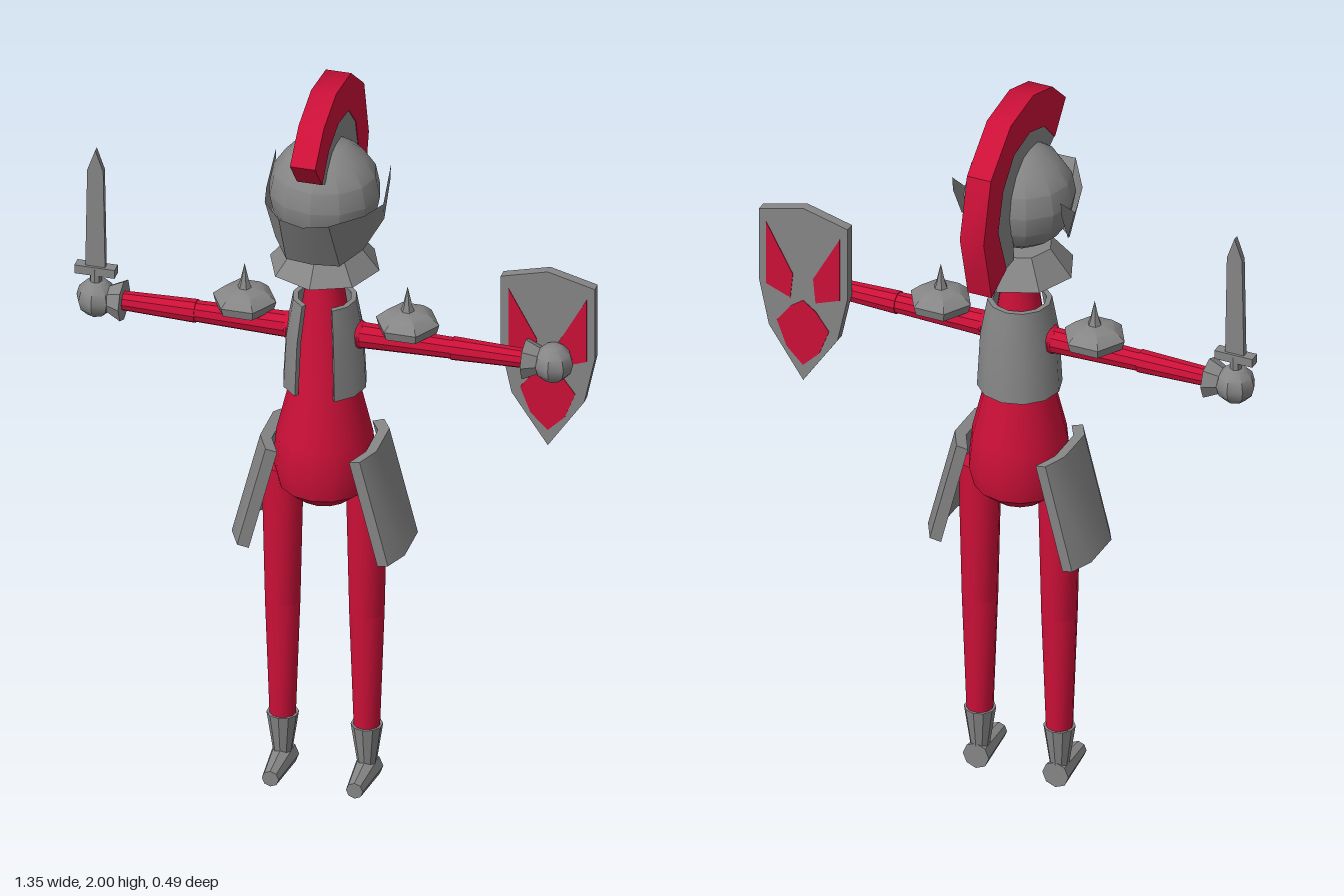
import * as THREE from 'three';
import { toCreasedNormals } from 'three/addons/utils/BufferGeometryUtils.js';

const steel = new THREE.MeshStandardMaterial({ color: 0x868686, side: THREE.DoubleSide });
steel.name = 'steel';
const red = new THREE.MeshStandardMaterial({ color: 0xcc1038, side: THREE.DoubleSide });
red.name = 'crimson';

const v2 = (pts) => pts.map(([x, y]) => new THREE.Vector2(x, y));

function add(parent, name, geo, mat, x = 0, y = 0, z = 0) {
  const mesh = new THREE.Mesh(toCreasedNormals(geo, 0.6), mat);
  mesh.name = name;
  mesh.position.set(x, y, z);
  parent.add(mesh);
  return mesh;
}

// flat outline with a thickness, centred on its depth
function plate(pts, depth) {
  const geo = new THREE.ExtrudeGeometry(new THREE.Shape(v2(pts)), { depth, bevelEnabled: false });
  return geo.translate(0, 0, -depth / 2);
}

const mirrorX = (half) => [...half, ...half.slice().reverse().filter(([x]) => x !== 0).map(([x, y]) => [-x, y])];

function addHead(body) {
  const helmet = add(body, 'helmet', new THREE.SphereGeometry(0.14, 12, 8), steel, 0, 1.71, 0);
  helmet.scale.set(1.03, 1.03, 0.97);
  add(body, 'neckGuard', new THREE.CylinderGeometry(0.085, 0.143, 0.07, 8), steel, 0, 1.53, 0);

  // visor: upper and lower rim for one side, from the tip to the hinge
  const rims = [
    [[0, 1.712, 0.205], [0, 1.56, 0.125]],
    [[0.065, 1.72, 0.195], [0.07, 1.557, 0.11]],
    [[0.13, 1.705, 0.095], [0.115, 1.58, 0.05]],
    [[0.153, 1.69, 0.0], [0.147, 1.63, -0.03]],
    [[0.15, 1.76, -0.08], [0.15, 1.72, -0.075]],
  ];
  const flip = (rim) => rim.map(([x, y, z]) => [-x, y, z]);
  const stations = [...rims.slice(1).reverse().map(flip), ...rims];
  const index = [];
  for (let i = 0; i < stations.length - 1; i++) {
    const a = i * 2;
    index.push(a, a + 1, a + 2, a + 1, a + 3, a + 2);
  }
  const visor = new THREE.BufferGeometry();
  visor.setAttribute('position', new THREE.Float32BufferAttribute(stations.flat(2), 3));
  visor.setIndex(index);
  add(body, 'visor', visor, steel);

  // crest: red plume over a steel ridge, outlines in (z, y)
  const outer = [[0.205, 1.885], [0.125, 1.96], [0.01, 1.998], [-0.125, 1.982], [-0.245, 1.885], [-0.288, 1.72], [-0.24, 1.54]];
  const middle = [[0.14, 1.805], [0.077, 1.87], [-0.01, 1.9], [-0.105, 1.885], [-0.17, 1.815], [-0.2, 1.71], [-0.15, 1.575]];
  const inner = [[0.11, 1.79], [0.08, 1.8], [0, 1.82], [-0.08, 1.79], [-0.115, 1.7], [-0.1, 1.575]];
  const band = (a, b, w) => plate([...a, ...b.slice().reverse()], w).rotateY(-Math.PI / 2);
  add(body, 'plume', band(outer, middle, 0.066), red);
  add(body, 'crestRidge', band(middle, inner, 0.062), steel);
}

function addTorso(body) {
  const profile = [[0, 0.8], [0.07, 0.825], [0.118, 0.865], [0.131, 0.92], [0.122, 1.01],
    [0.086, 1.16], [0.06, 1.36], [0.048, 1.44], [0.046, 1.54]];
  add(body, 'torso', new THREE.LatheGeometry(v2(profile), 14), red);

  // vest wraps the back and sides, open at the front
  const section = [[0.095, 1.15], [0.108, 1.15], [0.1, 1.3], [0.082, 1.4], [0.068, 1.4], [0.085, 1.3], [0.095, 1.15]];
  const gap = 0.5;
  add(body, 'vest', new THREE.LatheGeometry(v2(section), 10, gap, Math.PI * 2 - gap * 2), steel);
  for (const s of [-1, 1]) {
    // closes the vest's cut front edges
    const edge = new THREE.ShapeGeometry(new THREE.Shape(v2(section)));
    add(body, 'vestEdge', edge, steel).rotation.y = s * gap - Math.PI / 2;
  }
}

function addArm(body, s) {
  const arm = new THREE.Group();
  arm.name = s > 0 ? 'leftArm' : 'rightArm';
  body.add(arm);
  // tapered tube along x between two distances from the body's middle
  const limb = (name, d0, d1, r0, r1, mat, sides) => {
    const geo = new THREE.CylinderGeometry(r1, r0, d1 - d0, sides).rotateZ(-s * Math.PI / 2);
    add(arm, name, geo, mat, s * (d0 + d1) / 2, 1.3, 0);
  };
  add(arm, 'shoulderJoint', new THREE.SphereGeometry(0.04, 10, 8), red, s * 0.08, 1.3, 0);
  limb('upperArm', 0.06, 0.335, 0.035, 0.028, red, 10);
  limb('forearm', 0.335, 0.54, 0.031, 0.025, red, 10);
  limb('cuff', 0.525, 0.575, 0.055, 0.03, steel, 8);
  add(arm, 'hand', new THREE.SphereGeometry(0.052, 8, 6), steel, s * 0.597, 1.3, 0);

  // six-sided shoulder plate with a spike
  const dome = [[0, 1.328], [0.076, 1.328], [0.083, 1.352], [0.055, 1.376], [0.018, 1.384], [0.012, 1.4], [0, 1.452]];
  add(arm, 'shoulderPlate', new THREE.LatheGeometry(v2(dome), 6, Math.PI / 6), steel, s * 0.213, 0, -0.012)
    .rotation.y = Math.PI / 3;
}

function addLeg(body, s) {
  const leg = new THREE.Group();
  leg.name = s > 0 ? 'leftLeg' : 'rightLeg';
  leg.position.x = s * 0.11;
  body.add(leg);
  add(leg, 'thigh', new THREE.CylinderGeometry(0.055, 0.046, 0.4, 12), red, 0, 0.7, 0);
  add(leg, 'shin', new THREE.CylinderGeometry(0.046, 0.034, 0.34, 12), red, 0, 0.33, 0);
  add(leg, 'boot', new THREE.CylinderGeometry(0.041, 0.024, 0.115, 10), steel, 0, 0.113, 0);
  add(leg, 'foot', new THREE.CylinderGeometry(0.022, 0.036, 0.14, 8).rotateX(Math.PI / 2), steel, 0, 0.037, 0.045);

  // bent hip guard, leaning outward at the bottom
  const bend = [[0, -0.113], [0.03, -0.06], [0.03, 0.06], [0, 0.113], [-0.03, 0.108], [0, 0.055], [0, -0.055], [-0.03, -0.108]];
  const guard = add(body, 'hipGuard', plate(bend, 0.3).rotateX(-Math.PI / 2), steel, s * 0.16, 0.85, 0);
  guard.rotation.set(0, s > 0 ? 0 : Math.PI, 0.25);
}

function addSword(body) {
  const sword = new THREE.Group();
  sword.name = 'sword';
  sword.position.set(-0.598, 0, 0);
  body.add(sword);
  const blade = mirrorX([[0, 1.73], [-0.021, 1.67], [-0.026, 1.38]]);
  add(sword, 'blade', plate(blade, 0.016), steel);
  add(sword, 'crossguard', new THREE.BoxGeometry(0.105, 0.024, 0.03), steel, 0, 1.38, 0);
  add(sword, 'grip', new THREE.CylinderGeometry(0.016, 0.016, 0.13, 8), steel, 0, 1.32, 0);
}

function addShield(body) {
  const shield = new THREE.Group();
  shield.name = 'shield';
  shield.position.set(0.575, 0, -0.04);
  body.add(shield);
  const outline = mirrorX([[0, 1.545], [-0.123, 1.513], [-0.123, 1.31], [-0.095, 1.18], [0, 1.04]]);
  add(shield, 'shieldBoard', plate(outline, 0.026), steel);

  // painted panels on both faces
  const wing = [[-0.102, 1.48], [-0.102, 1.3], [-0.035, 1.275], [-0.028, 1.345]];
  const diamond = mirrorX([[0, 1.275], [-0.035, 1.25], [-0.072, 1.2], [-0.045, 1.13], [0, 1.085]]);
  for (const z of [-0.0135, 0.0135]) {
    add(shield, 'lowerPanel', plate(diamond, 0.003), red, 0, 0, z);
    for (const s of [-1, 1]) {
      add(shield, 'upperPanel', plate(wing.map(([x, y]) => [-s * x, y]), 0.003), red, 0, 0, z);
    }
  }
}

export function createModel() {
  const model = new THREE.Group();
  model.name = 'knight';
  const body = new THREE.Group();
  body.name = 'body';
  body.position.set(-0.026, 0, 0.04);
  model.add(body);
  addHead(body);
  addTorso(body);
  for (const s of [-1, 1]) {
    addArm(body, s);
    addLeg(body, s);
  }
  addSword(body);
  addShield(body);
  return model;
}
